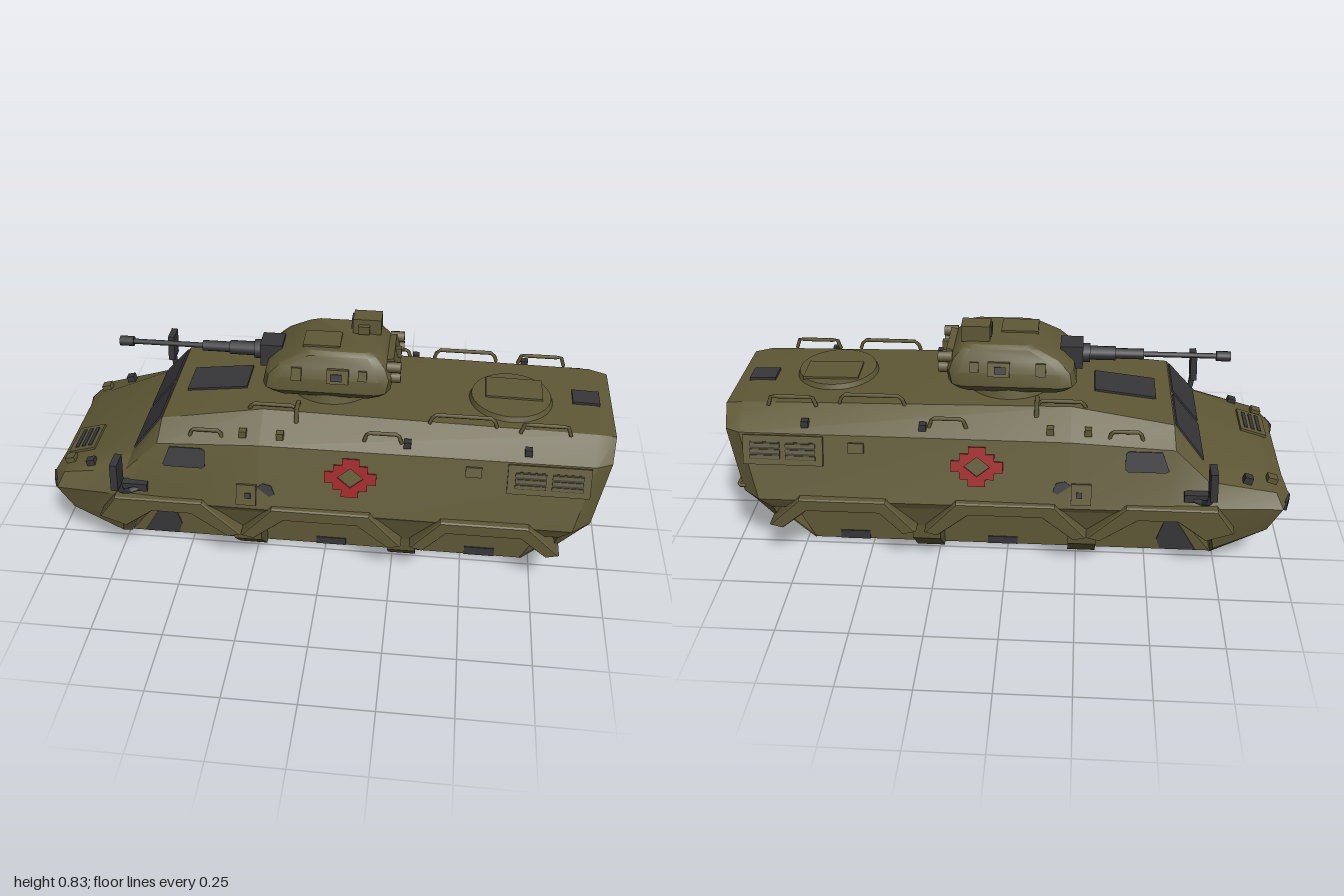
import * as THREE from 'three';
import { toCreasedNormals } from 'three/addons/utils/BufferGeometryUtils.js';
import { ConvexGeometry } from 'three/addons/geometries/ConvexGeometry.js';

const mat = (name, color, side = THREE.FrontSide) => {
  const m = new THREE.MeshStandardMaterial({ color, side });
  m.name = name;
  return m;
};

export function createModel() {
  const olive = mat('olive paint', 0x5f5836);
  const dark = mat('dark grey', 0x37373a, THREE.DoubleSide);
  const red = mat('red marking', 0x9a1f22);
  const model = new THREE.Group();
  model.name = 'armouredCarrier';

  const add = (name, geo, m, pos = [0, 0, 0], rot = [0, 0, 0], parent = model) => {
    const mesh = new THREE.Mesh(geo, m);
    mesh.name = name;
    mesh.position.set(...pos);
    mesh.rotation.set(...rot);
    parent.add(mesh);
    return mesh;
  };
  const box = (name, size, pos, m = olive, rot) => add(name, new THREE.BoxGeometry(...size), m, pos, rot);
  const convex = (name, pts, m = olive) => add(name, new ConvexGeometry(pts.map(p => new THREE.Vector3(...p))), m);
  // every point together with its mirror image across z
  const both = pts => pts.flatMap(([x, y, z]) => [[x, y, z], [x, y, -z]]);
  const tube = (name, pts, r, m = olive) => {
    const path = new THREE.CurvePath();
    const v = pts.map(p => new THREE.Vector3(...p));
    for (let i = 1; i < v.length; i++) path.add(new THREE.LineCurve3(v[i - 1], v[i]));
    return add(name, new THREE.TubeGeometry(path, (v.length - 1) * 4, r, 6), m);
  };
  const rail = (x0, x1, y, z, h = 0.025) =>
    tube('handRail', [[x0, y - 0.01, z], [x0 + 0.012, y + h, z], [x1 - 0.012, y + h, z], [x1, y - 0.01, z]], 0.007);
  const rod = (name, x0, x1, r, y, z, m, n = 12) =>
    add(name, new THREE.CylinderGeometry(r, r, x1 - x0, n), m, [(x0 + x1) / 2, y, z], [0, 0, Math.PI / 2]);
  // skin over a series of closed rings, capped at both ends
  const loft = (rings, crease) => {
    const n = rings[0].length, last = (rings.length - 1) * n, idx = [];
    for (let i = 0; i < rings.length - 1; i++) for (let j = 0; j < n; j++) {
      const a = i * n + j, b = i * n + (j + 1) % n, c = b + n, d = a + n;
      idx.push(a, d, c, a, c, b);
    }
    for (let k = 1; k < n - 1; k++) idx.push(0, k, k + 1, last, last + k + 1, last + k);
    const g = new THREE.BufferGeometry();
    g.setAttribute('position', new THREE.Float32BufferAttribute(rings.flat(2), 3));
    g.setIndex(idx);
    return toCreasedNormals(g, crease);
  };

  // Upper hull: each station is sill, belt, shoulder, roof edge
  const stations = [
    [[-.955, .22, .24], [-1, .285, .24], [-.99, .30, .235], [-.98, .31, .15]],
    [[-.92, .18, .31], [-.965, .28, .33], [-.94, .33, .30], [-.93, .345, .20]],
    [[-.72, .187, .36], [-.72, .30, .37], [-.70, .385, .33], [-.69, .415, .27]],
    [[-.55, .265, .37], [-.56, .29, .383], [-.58, .50, .32], [-.575, .555, .24]],
    [[-.22, .265, .37], [-.22, .29, .385], [-.22, .515, .315], [-.22, .598, .21]],
    [[.83, .24, .36], [.87, .28, .375], [.93, .515, .312], [.93, .58, .21]],
    [[.915, .21, .27], [.935, .28, .32], [.985, .51, .28], [.997, .568, .20]]
  ];
  const rings = stations.map(s => [...s, ...[...s].reverse().map(([x, y, z]) => [x, y, -z])]);
  add('upperHull', loft(rings, 0.4), olive);

  // Lower hull: nose, narrow tub, tail and tail plate
  convex('lowerNose', both([[-.955, .22, .24], [-.92, .18, .31], [-.72, .187, .36], [-.735, .11, .34], [-.74, .015, .23], [-.8, .25, .3]]));
  convex('lowerTub', both([[-.74, .012, .22], [.72, .012, .22], [.8, .17, .22], [.84, .28, .22], [-.53, .28, .22]]));
  convex('lowerTail', both([[.915, .21, .27], [.82, .105, .26], [.81, .17, .34], [.83, .25, .36]]));
  convex('tailPlate', both([[.72, .012, .225], [.83, .115, .225], [.72, .018, .225], [.82, .115, .225]]));

  // Posts between wheel wells and raised wheel arches
  const arches = [
    [[-.79, .22], [-.73, .305], [-.42, .305], [-.29, .18], [-.33, .17], [-.46, .262], [-.6, .262], [-.7, .187]],
    [[-.28, .18], [-.17, .30], [.17, .30], [.28, .18], [.24, .17], [.13, .26], [-.13, .26], [-.24, .17]],
    [[.32, .18], [.42, .295], [.72, .295], [.83, .19], [.79, .18], [.7, .255], [.44, .255], [.36, .17]]
  ];
  for (const s of [1, -1]) {
    for (const c of [-.27, .285]) {
      const slab = rows => rows.flatMap(([w, y, z]) => [[c - w, y, z * s], [c + w, y, z * s], [c - w, y, .2 * s], [c + w, y, .2 * s]]);
      convex('wellPost', slab([[.05, .01, .24], [.05, .11, .34], [.05, .175, .345]]));
      convex('wellPostFlare', slab([[.05, .17, .345], [.16, .28, .375]]));
    }
    for (const a of arches) {
      const shape = new THREE.Shape(a.map(p => new THREE.Vector2(...p)));
      const g = new THREE.ExtrudeGeometry(shape, { depth: 0.07, bevelEnabled: true, bevelSize: .004, bevelThickness: .006, bevelSegments: 1 });
      add('wheelArch', g, olive, [0, 0, s > 0 ? .325 : -.395]);
    }
  }

  // Details lying on the sloping hull sides
  const tilt = 0.302;
  const sideZ = y => .385 - (y - .29) * .311;
  const flat = pts => new THREE.ExtrudeGeometry(new THREE.Shape(pts.map(p => new THREE.Vector2(...p))), { depth: .008, bevelEnabled: false }).translate(0, 0, -.004);
  const windowGeo = flat([[-.075, -.03], [-.05, .035], [.065, .035], [.075, .025], [.075, -.03], [.065, -.037], [-.065, -.037]]);
  const markShape = [[.09, .02], [.06, .02], [.06, .045], [.03, .045], [.03, .07]];
  const outline = [...markShape, ...[...markShape].reverse().map(([x, y]) => [-x, y])];
  const mark = new THREE.Shape([...outline, ...[...outline].reverse().map(([x, y]) => [x, -y])].map(p => new THREE.Vector2(...p)));
  mark.holes.push(new THREE.Path([[.045, 0], [0, -.035], [-.045, 0], [0, .035]].map(p => new THREE.Vector2(...p))));
  const markGeo = new THREE.ExtrudeGeometry(mark, { depth: .008, bevelEnabled: false }).translate(0, 0, -.004);
  const patchGeo = flat([[-.03, .01], [-.01, .025], [.02, .018], [.032, -.012], [.015, -.022], [-.01, -.005]]);
  for (const s of [1, -1]) {
    const onSide = (name, geo, x, y, m, out = 0) =>
      add(name, geo, m, [x, y, s * (sideZ(y) + out)], [-s * tilt, 0, 0]);
    const sideBox = (name, w, h, d, x, y, m = olive, out = 0) => onSide(name, new THREE.BoxGeometry(w, h, d), x, y, m, out);
    onSide('sideWindow', windowGeo, -.485, .46, dark, .002);
    onSide('sideMarking', markGeo, .1, .425, red, .002);
    onSide('camouflagePatch', patchGeo, -.195, .36, dark);
    sideBox('stowageBox', .07, .075, .025, -.262, .342);
    sideBox('stowageLatch', .02, .02, .01, -.255, .345, dark, .013);
    sideBox('sideLamp', .055, .035, .02, .52, .475);
    // side ventilation grille
    sideBox('grilleFrame', .28, .105, .014, .775, .46);
    for (const gx of [.713, .837]) {
      sideBox('grilleOpening', .105, .062, .008, gx, .46, dark, .005);
      for (let k = -1; k <= 1; k++) sideBox('grilleSlat', .105, .012, .008, gx, .46 + k * .02, olive, .009);
    }
    // small fixtures along the shoulder
    for (const x of [-.28, -.15, .29, .7]) box('shoulderLug', [.025, .025, .025], [x, .545, s * .287], x > 0 ? dark : olive);
    rail(-.47, -.35, .525, s * .29);
    rail(.14, .27, .55, s * .28);
    rail(.36, .59, .597, s * .215);
    rail(.67, .84, .588, s * .225);
    rail(-.27, -.1, .6, s * .2, .012);
    tube('roofCrossRail', [[-.1, .59, s * .16], [-.1, .615, s * .17], [-.1, .615, s * .23], [-.1, .57, s * .24]], .008);
    // mirror on its bent arm
    tube('mirrorArm', [[-.63, .34, s * .36], [-.68, .335, s * .39], [-.695, .36, s * .42], [-.70, .41, s * .425]], .011, dark);
    box('mirror', [.025, .108, .07], [-.70, .446, s * .43], dark, [0, 0, -.05]);
    box('mirrorBracket', [.09, .03, .03], [-.66, .345, s * .365], dark);
    // headlight and nose fixtures
    box('headlight', [.025, .035, .06], [-.98, .272, s * .265], dark, [0, s * .3, 0]);
    box('hoodLug', [.035, .02, .035], [-.93, .35, s * .24], olive, [0, 0, .28]);
    box('hoodLug', [.03, .025, .03], [-.84, .37, s * .28], dark, [0, 0, .28]);
    // windscreen pane
    const pane = [[-.685, .43, .012], [-.685, .43, .255], [-.585, .552, .228], [-.585, .552, .012]];
    convex('windscreen', pane.flatMap(([x, y, z]) => [[x, y, z * s], [x + .008, y - .007, z * s]]), dark);
    // dark patches on the tub
    const tubPatch = flat([[-.69, .015], [-.64, .1], [-.61, .145], [-.57, .14], [-.545, .06], [-.56, .015]]);
    add('tubPatch', tubPatch, dark, [0, 0, s * .22]);
    box('tubPatch', [.11, .03, .008], [.02, .028, s * .22], dark);
    box('tubPatch', [.11, .035, .008], [.57, .03, s * .22], dark);
  }
  // Hood grille
  box('hoodGrille', [.1, .012, .15], [-.9, .357, .13], olive, [0, 0, .284]);
  for (let k = -1; k <= 1; k++) box('hoodGrilleSlot', [.014, .008, .11], [-.9 + k * .025, .362 + k * .0073, .13], dark, [0, 0, .284]);

  // Roof plates and rear hatch
  box('roofPanel', [.22, .01, .145], [-.41, .578, -.002], dark, [0, 0, .121]);
  box('rearRoofPanel', [.095, .012, .08], [.905, .583, -.008], dark, [0, 0, -.03]);
  add('roundHatch', new THREE.CylinderGeometry(.14, .147, .018, 32), olive, [.64, .594, .03], [0, 0, -.016]);
  box('hatchPlate', [.2, .012, .125], [.65, .604, -.005], olive, [0, 0, -.016]);

  // Rear door with slotted vent
  const rearTilt = [0, 0, -.22];
  const rear = (name, h, w, d, y, z, m, out = 0) => box(name, [d, h, w], [.915 + (y - .21) * .225 + out, y, z], m, rearTilt);
  rear('rearDoor', .195, .3, .02, .308, 0, olive);
  rear('rearVent', .09, .215, .008, .285, 0, dark, .009);
  for (const y of [.245, .272, .297, .327]) rear('rearVentSlat', .012, .215, .012, y, 0, olive, .012);
  rear('rearVentBar', .09, .01, .02, .285, .005, olive, .014);
  tube('rearHandle', [[.93, .3, -.2], [.955, .3, -.2], [.955, .3, -.32], [.92, .3, -.32]], .007);

  // Turret
  const tz = -.008;
  add('turretRing', new THREE.CylinderGeometry(.15, .16, .04, 32), olive, [0, .608, tz]);
  const turretRing = ([y, f, b, w, c]) => {
    const half = [[b, w - c], [b - c * .3, w - c * .3], [b - c, w], [f + c, w], [f + c * .3, w - c * .3], [f, w - c]];
    return [...half, ...[...half].reverse().map(([x, z]) => [x, -z])].map(([x, z]) => [x, y, z + tz]);
  };
  add('turretBody', loft([
    [.62, -.21, .19, .145, .05], [.645, -.235, .215, .163, .05], [.695, -.225, .225, .157, .05],
    [.735, -.185, .21, .142, .05], [.772, -.11, .175, .128, .04], [.784, -.085, .15, .112, .03]
  ].map(turretRing), 0.5), olive);
  box('turretRoofHatch', [.13, .012, .1], [-.03, .785, .03]);
  box('sightHousing', [.1, .058, .07], [.12, .811, -.062]);
  box('sightWindow', [.008, .035, .05], [.068, .815, -.062], dark);
  box('sightSideBox', [.04, .03, .02], [.11, .805, -.02]);
  for (const s of [1, -1]) {
    const z = d => tz + s * d;
    const lean = [-s * .3, 0, 0];
    box('turretSideBox', [.075, .05, .03], [.035, .712, z(.158)], olive, lean);
    box('turretSidePort', [.04, .025, .008], [.03, .715, z(.174)], dark, lean);
    box('turretLug', [.035, .045, .03], [-.11, .71, z(.15)], olive, lean);
    box('turretLug', [.03, .035, .03], [.12, .715, z(.15)], olive, lean);
    for (const y of [.69, .73]) rod('rearTurretCan', .2, .25, .02, y, z(.105), olive, 8);
  }
  box('rearTurretBin', [.03, .08, .17], [.218, .71, tz], olive, [0, 0, .25]);
  box('rearTurretLatch', [.02, .035, .022], [.235, .727, tz - .005]);

  // Gun
  const gz = -.01, gy = .708;
  box('gunMantlet', [.08, .085, .09], [-.215, gy, gz], dark);
  rod('gunCollar', -.28, -.23, .034, gy, gz, dark);
  rod('gunSleeve', -.37, -.27, .025, gy, gz, dark);
  rod('gunSleeveFront', -.47, -.36, .019, gy, gz, dark);
  rod('gunBarrel', -.76, -.45, .0095, gy, gz, dark);
  rod('muzzle', -.775, -.725, .018, gy, gz, dark);

  return model;
}
